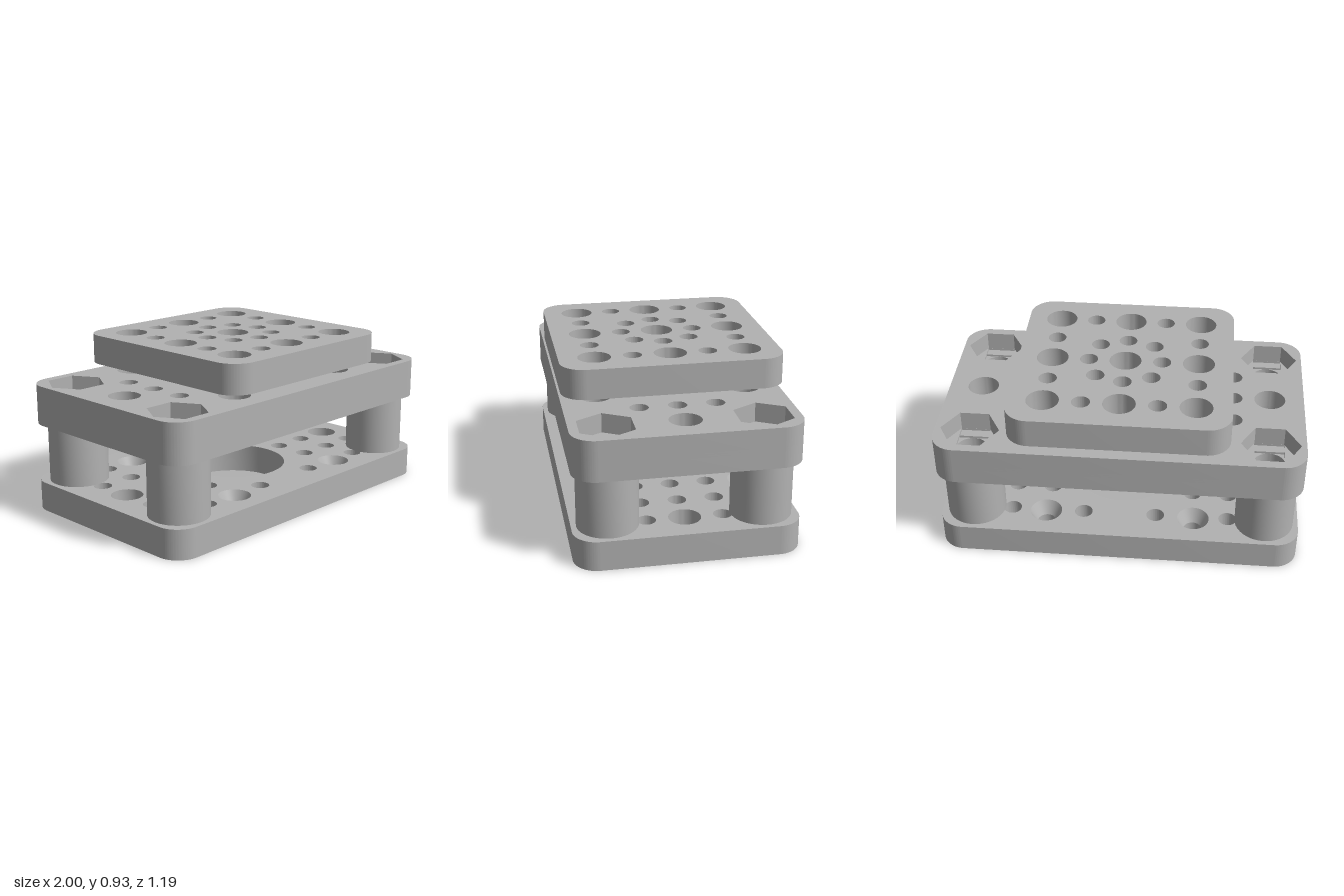
import * as THREE from 'three';
import { toCreasedNormals } from 'three/addons/utils/BufferGeometryUtils.js';

const P = 0.2025;          // hole grid pitch
const BIG = 0.086, SMALL = 0.05;
const grey = new THREE.MeshStandardMaterial({ color: 0xb2b2b2 });
grey.name = 'grey plastic';

function roundHole(x, z, r) {
  return new THREE.Path().absarc(x, z, r, 0, Math.PI * 2, true);
}

function polyHole(x, z, corners) {
  return new THREE.Path(corners.map(([a, b]) => new THREE.Vector2(x + a, z + b)));
}

// Rounded slab from y0 to y1 with holes cut straight through
function slab(name, halfX, halfZ, y0, y1, holes) {
  const r = 0.13;
  const s = new THREE.Shape();
  s.absarc(halfX - r, halfZ - r, r, 0, Math.PI / 2);
  s.absarc(-halfX + r, halfZ - r, r, Math.PI / 2, Math.PI);
  s.absarc(-halfX + r, -halfZ + r, r, Math.PI, Math.PI * 1.5);
  s.absarc(halfX - r, -halfZ + r, r, Math.PI * 1.5, Math.PI * 2);
  s.holes = holes;
  const g = new THREE.ExtrudeGeometry(s, { depth: y1 - y0, bevelEnabled: false, curveSegments: 28 });
  g.rotateX(-Math.PI / 2).translate(0, y0, 0);
  return part(name, g);
}

// Turned part; the profile runs up the outside and down the inside
function turned(name, profile, x = 0, z = 0, segments = 40) {
  const pts = profile.map(([r, y]) => new THREE.Vector2(r, y));
  pts.push(pts[0].clone());
  return part(name, new THREE.LatheGeometry(pts, segments).translate(x, 0, z));
}

function part(name, geometry) {
  const m = new THREE.Mesh(toCreasedNormals(geometry, 0.35), grey);
  m.name = name;
  return m;
}

const signs = [[1, 1], [-1, 1], [1, -1], [-1, -1]];
const corners = (x, z) => signs.map(([a, b]) => [a * x, b * z]);

export function createModel() {
  const model = new THREE.Group();
  model.name = 'rotatingStage';
  const W = 1, D = 0.595;
  const yBase = 0.163, yMid = 0.49, yMidTop = 0.71, yTop = 0.765, yEnd = 0.928;
  const posts = corners(4 * P, 2 * P);

  // Base plate: hole grid, large centre opening, countersunk screw holes
  const base = new THREE.Group();
  base.name = 'basePlate';
  const baseHoles = [roundHole(0, 0, 0.3)];
  for (let i = -4; i <= 4; i++) {
    for (let j = -2; j <= 2; j++) {
      const a = Math.abs(i), b = Math.abs(j);
      if (a < 2 && b < 2) continue;              // centre opening
      if (a === 0) continue;
      if (a === 2 && b === 2) continue;          // countersinks
      if (a === 1 && b < 2) continue;
      const large = a === 4 && b !== 1;
      baseHoles.push(roundHole(i * P, j * P, large ? BIG : SMALL));
    }
  }
  const sinks = corners(0.415, 0.415);
  sinks.forEach(([x, z]) => baseHoles.push(roundHole(x, z, 0.092)));
  base.add(slab('baseSlab', W, D, 0, yBase, baseHoles));
  for (const [x, z] of sinks) {
    base.add(turned('countersink',
      [[0.093, 0], [0.093, yBase], [0.089, yBase], [SMALL, 0.085], [SMALL, 0]], x, z));
  }
  model.add(base);

  // Hollow corner posts
  for (const [x, z] of posts) {
    model.add(turned('cornerPost',
      [[0.1625, yBase], [0.1625, yMid], [BIG, yMid], [BIG, yBase]], x, z));
  }

  // Middle plate: stacked layers form the stepped hexagonal nut pockets
  const middle = new THREE.Group();
  middle.name = 'middlePlate';
  const hex = [0, 1, 2, 3, 4, 5].map((k) =>
    [0.161 * Math.cos(k * Math.PI / 3), 0.161 * Math.sin(k * Math.PI / 3)]);
  const rect = (a, b) => [[a, b], [-a, b], [-a, -b], [a, -b]];
  const layers = [
    [yMid, 0.58, (x, z) => roundHole(x, z, BIG)],
    [0.58, 0.592, (x, z) => polyHole(x, z, rect(0.086, 0.086))],
    [0.592, 0.604, (x, z) => polyHole(x, z, rect(0.082, 0.139))],
    [0.604, yMidTop, (x, z) => polyHole(x, z, hex)],
  ];
  for (const [y0, y1, pocket] of layers) {
    const holes = [roundHole(0, 0, 0.46), roundHole(4 * P, 0, BIG), roundHole(-4 * P, 0, BIG)];
    for (const s of [-1, 1]) {
      for (const j of [-1, 0, 1]) holes.push(roundHole(s * 3 * P, j * P, SMALL));
    }
    corners(2 * P, 2 * P).forEach(([x, z]) => holes.push(roundHole(x, z, BIG)));
    posts.forEach(([x, z]) => holes.push(pocket(x, z)));
    middle.add(slab('middleLayer', W, D, y0, y1, holes));
  }
  // Grooved bearing race in the middle plate
  middle.add(turned('bearingRace',
    [[0.461, yMid], [0.461, yMidTop], [0.412, yMidTop], [0.45, 0.6], [0.412, yMid]], 0, 0, 96));
  model.add(middle);

  // Rotor: ridged rim running in the race, with a drilled web
  const rotor = new THREE.Group();
  rotor.name = 'rotor';
  rotor.add(turned('rotorRim',
    [[0.39, yMid], [0.425, 0.6], [0.39, yMidTop], [0.39, yTop], [0.33, yTop], [0.33, yMid]], 0, 0, 96));
  const web = new THREE.Shape().absarc(0, 0, 0.331, 0, Math.PI * 2);
  const diagonals = corners(0.152, 0.152);
  web.holes = [roundHole(0, 0, BIG), ...diagonals.map(([x, z]) => roundHole(x, z, SMALL))];
  const webGeo = new THREE.ExtrudeGeometry(web, { depth: yTop - 0.56, bevelEnabled: false, curveSegments: 48 });
  rotor.add(part('rotorWeb', webGeo.rotateX(-Math.PI / 2).translate(0, 0.56, 0)));
  model.add(rotor);

  // Top table with alternating large and small holes
  const topHoles = diagonals.map(([x, z]) => roundHole(x, z, SMALL));
  for (let i = -2; i <= 2; i++) {
    for (let j = -2; j <= 2; j++) {
      if (i % 2 && j % 2) continue;
      topHoles.push(roundHole(i * P, j * P, i % 2 || j % 2 ? SMALL : 0.088));
    }
  }
  model.add(slab('topTable', D, D, yTop, yEnd, topHoles));

  return model;
}
